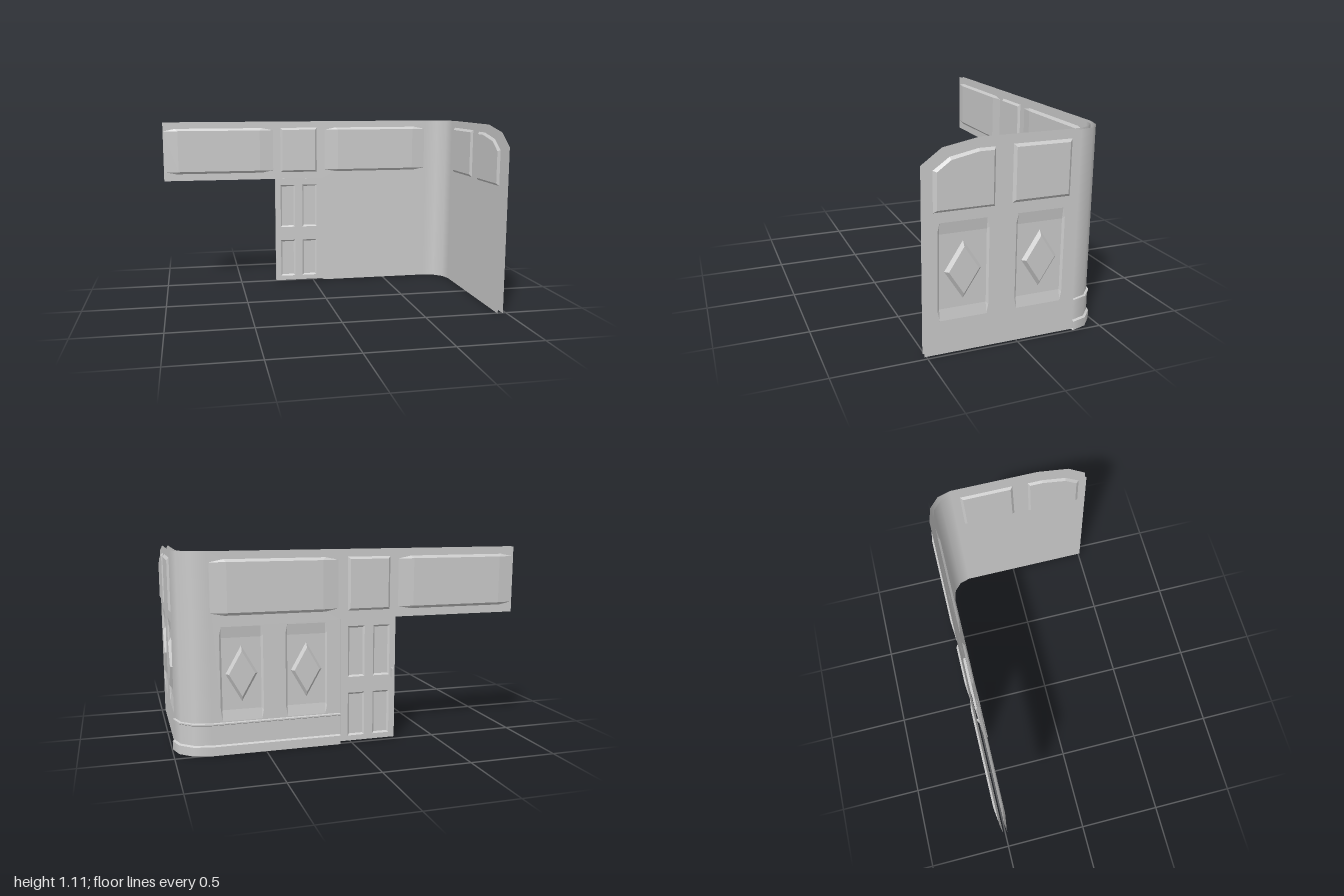
import * as THREE from 'three';

const TOP = 1.107, BACK = -0.494, SIDE = 0.978, CX = 0.8, CZ = -0.335;
const mat = new THREE.MeshStandardMaterial({ color: 0xcccccc, side: THREE.DoubleSide });

function mesh(geo, name, parent) {
  const m = new THREE.Mesh(geo, mat);
  m.name = name;
  parent.add(m);
  return m;
}

function bufferGeo(pos, normals) {
  const g = new THREE.BufferGeometry();
  g.setAttribute('position', new THREE.Float32BufferAttribute(pos, 3));
  if (normals) g.setAttribute('normal', new THREE.Float32BufferAttribute(normals, 3));
  else g.computeVertexNormals();
  return g;
}

const rect = (x0, x1, y0, y1, d = 0) =>
  [[x0 + d, y0 + d], [x1 - d, y0 + d], [x1 - d, y1 - d], [x0 + d, y1 - d]];

// A wall face: its local z points out of the wall, s maps the world axis to local x
function makeFace(name, parent, rotY, x, z, s) {
  const group = new THREE.Group();
  group.name = name;
  group.rotation.y = rotY;
  group.position.set(x, 0, z);
  parent.add(group);
  return { group, s };
}

const toFace = (face, pts) => {
  const out = pts.map(([u, v]) => new THREE.Vector2(u * face.s, v));
  return face.s < 0 ? out.reverse() : out;
};

function sheet(face, outline, holes, name) {
  const shape = new THREE.Shape(toFace(face, outline));
  holes.forEach(h => shape.holes.push(new THREE.Path(toFace(face, h))));
  mesh(new THREE.ShapeGeometry(shape), name, face.group);
}

// Bevelled panel: a base loop lofted to a top loop at height h1, closed by a flat cap
function panel(face, base, top, h1, name, h0 = 0) {
  const a = toFace(face, base), b = toFace(face, top), n = a.length, pos = [];
  const put = (p, h) => pos.push(p.x, p.y, h);
  for (let i = 0; i < n; i++) {
    const j = (i + 1) % n;
    put(a[i], h0); put(a[j], h0); put(b[j], h1);
    put(a[i], h0); put(b[j], h1); put(b[i], h1);
    if (i > 0 && i < n - 1) { put(b[0], h1); put(b[i], h1); put(b[j], h1); }
  }
  mesh(bufferGeo(pos), name, face.group);
}

const frame = (face, r, d, h, name) => panel(face, rect(...r), rect(...r, d), h, name);

// Long raised band: steep bevels above and below, gentle ramps at both ends
function band(face, x0, x1) {
  const y0 = 0.765, y1 = 1.065, d = 0.015, r = 0.075;
  const base = [[x0, y0], [x1, y0], [x1 + r, y0 + d], [x1 + r, y1 - d],
    [x1, y1], [x0, y1], [x0 - r, y1 - d], [x0 - r, y0 + d]];
  const [p, q, s, t] = rect(x0, x1, y0, y1, d);
  panel(face, base, [p, q, q, s, s, t, t, p], 0.012, 'raisedBand');
}

// Recess with steep sides and gentle ramps above and below
function recessLoops(x0, x1) {
  const y0 = 0.235, y1 = 0.655, d = 0.011, r = 0.05;
  const outer = [[x0, y0], [x0 + d, y0 - r], [x1 - d, y0 - r], [x1, y0],
    [x1, y1], [x1 - d, y1 + r], [x0 + d, y1 + r], [x0, y1]];
  const [p, q, s, t] = rect(x0, x1, y0, y1, d);
  return { outer, floor: [p, p, q, q, s, s, t, t], cx: (x0 + x1) / 2 };
}

function diamondPanel(face, loops, w) {
  panel(face, loops.outer, loops.floor, -0.009, 'recessedPanel');
  const dia = k => [[loops.cx, 0.445 - 0.155 * k], [loops.cx + w * k, 0.445],
    [loops.cx, 0.445 + 0.155 * k], [loops.cx - w * k, 0.445]];
  panel(face, dia(1), dia(0.81), 0.009, 'diamond', -0.009);
}

// Quarter-ellipse corner path with normals
function cornerPath(rx, rz) {
  return [0, 1, 2, 3].map(i => {
    const t = i * Math.PI / 6, s = Math.sin(t), c = Math.cos(t);
    return { x: CX + rx * s, z: CZ - rz * c, nx: s, nz: -c };
  });
}

// Sweeps a profile of [offset, height] along a path, smooth along it and sharp across it
function sweep(path, profile, flip = 1) {
  const pos = [], nor = [];
  for (let k = 0; k < profile.length - 1; k++) {
    const [o0, y0] = profile[k], [o1, y1] = profile[k + 1];
    const len = Math.hypot(o1 - o0, y1 - y0), no = (y1 - y0) / len, ny = (o0 - o1) / len;
    const put = (p, o, y) => {
      pos.push(p.x + p.nx * o, y, p.z + p.nz * o);
      nor.push(flip * p.nx * no, flip * ny, flip * p.nz * no);
    };
    for (let i = 0; i < path.length - 1; i++) {
      const [a, b] = flip > 0 ? [path[i + 1], path[i]] : [path[i], path[i + 1]];
      put(a, o0, y0); put(b, o0, y0); put(b, o1, y1);
      put(a, o0, y0); put(b, o1, y1); put(a, o1, y1);
    }
  }
  return bufferGeo(pos, nor);
}

export function createModel() {
  const model = new THREE.Group();
  model.name = 'panelledWall';
  const outerBack = makeFace('outerBackWall', model, Math.PI, 0, BACK, -1);
  const innerBack = makeFace('innerBackWall', model, 0, 0, -0.47, 1);
  const outerSide = makeFace('outerSideWall', model, Math.PI / 2, SIDE, 0, -1);
  const innerSide = makeFace('innerSideWall', model, -Math.PI / 2, 0.945, 0, 1);

  // Wall sheets
  const backOutline = [[-1, 0.72], [0.07, 0.72], [0.07, 0], [CX, 0], [CX, TOP], [-1, TOP]];
  const sideOutline = [[CZ, 0], [0.51, 0], [0.51, 0.99], [0.4, 1.07], [0.205, TOP], [CZ, TOP]];
  const backRecesses = [recessLoops(0.145, 0.383), recessLoops(0.508, 0.746)];
  const sideRecesses = [recessLoops(0.162, 0.438), recessLoops(-0.262, 0.014)];
  sheet(outerBack, backOutline, backRecesses.map(r => r.outer), 'wallSheet');
  sheet(innerBack, backOutline, [], 'wallSheet');
  sheet(outerSide, sideOutline, sideRecesses.map(r => r.outer), 'wallSheet');
  sheet(innerSide, sideOutline, [], 'wallSheet');
  backRecesses.forEach(r => diamondPanel(outerBack, r, 0.088));
  sideRecesses.forEach(r => diamondPanel(outerSide, r, 0.1));

  // Rounded corner
  const outerArc = cornerPath(SIDE - CX, CZ - BACK);
  mesh(sweep(outerArc, [[0, 0], [0, TOP]]), 'outerCorner', model);
  mesh(sweep(cornerPath(0.145, 0.135), [[0, 0], [0, TOP]], -1), 'innerCorner', model);

  // Raised window panels and bands on both sides of the walls
  for (const face of [outerBack, innerBack]) {
    frame(face, [-0.225, 0.025, 0.765, 1.065], 0.013, 0.012, 'windowPanel');
    band(face, -0.92, -0.35);
    band(face, 0.155, 0.715);
  }
  const clipped = [[0.135, 0.76], [0.46, 0.76], [0.46, 0.97], [0.375, 1.03], [0.225, 1.06], [0.135, 1.06]];
  const clippedTop = [[0.147, 0.773], [0.443, 0.773], [0.443, 0.963], [0.37, 1.016], [0.225, 1.046], [0.147, 1.046]];
  for (const face of [outerSide, innerSide]) {
    frame(face, [-0.285, 0.04, 0.765, 1.065], 0.015, 0.012, 'windowPanel');
    panel(face, clipped, clippedTop, 0.012, 'clippedWindowPanel');
  }

  // Skirting along the back and round the corner
  const skirtPath = [{ x: 0.07, z: BACK, nx: 0, nz: -1 }, ...outerArc];
  const skirt = [[0, 0], [0.018, 0], [0.018, 0.05], [0.006, 0.057], [0.006, 0.166],
    [0.012, 0.17], [0.012, 0.177], [0, 0.18]];
  mesh(sweep(skirtPath, skirt), 'skirting', model);

  // Door slab with four recessed panels on each side
  const door = new THREE.Group();
  door.name = 'door';
  model.add(door);
  const slab = new THREE.Shape(rect(-0.262, 0.066, 0.01, 0.72).map(p => new THREE.Vector2(...p)));
  const faces = [makeFace('doorBack', door, Math.PI, 0, -0.492, -1), makeFace('doorFront', door, 0, 0, -0.468, 1)];
  for (const [x0, x1] of [[-0.227, -0.128], [-0.077, 0.022]])
    for (const [y0, y1] of [[0.04, 0.293], [0.385, 0.677]]) {
      slab.holes.push(new THREE.Path(rect(x0, x1, y0, y1).map(p => new THREE.Vector2(...p))));
      faces.forEach(f => frame(f, [x0, x1, y0, y1], 0.01, -0.008, 'doorPanel'));
    }
  const slabGeo = new THREE.ExtrudeGeometry(slab, { depth: 0.024, bevelEnabled: false });
  mesh(slabGeo.translate(0, 0, -0.492), 'doorSlab', door);

  // Door handle
  mesh(new THREE.BoxGeometry(0.016, 0.055, 0.006), 'handlePlate', door).position.set(-0.244, 0.395, -0.495);
  mesh(new THREE.BoxGeometry(0.012, 0.012, 0.014), 'handleStem', door).position.set(-0.244, 0.41, -0.501);
  mesh(new THREE.BoxGeometry(0.012, 0.05, 0.006), 'handleGrip', door).position.set(-0.244, 0.395, -0.507);
  return model;
}
